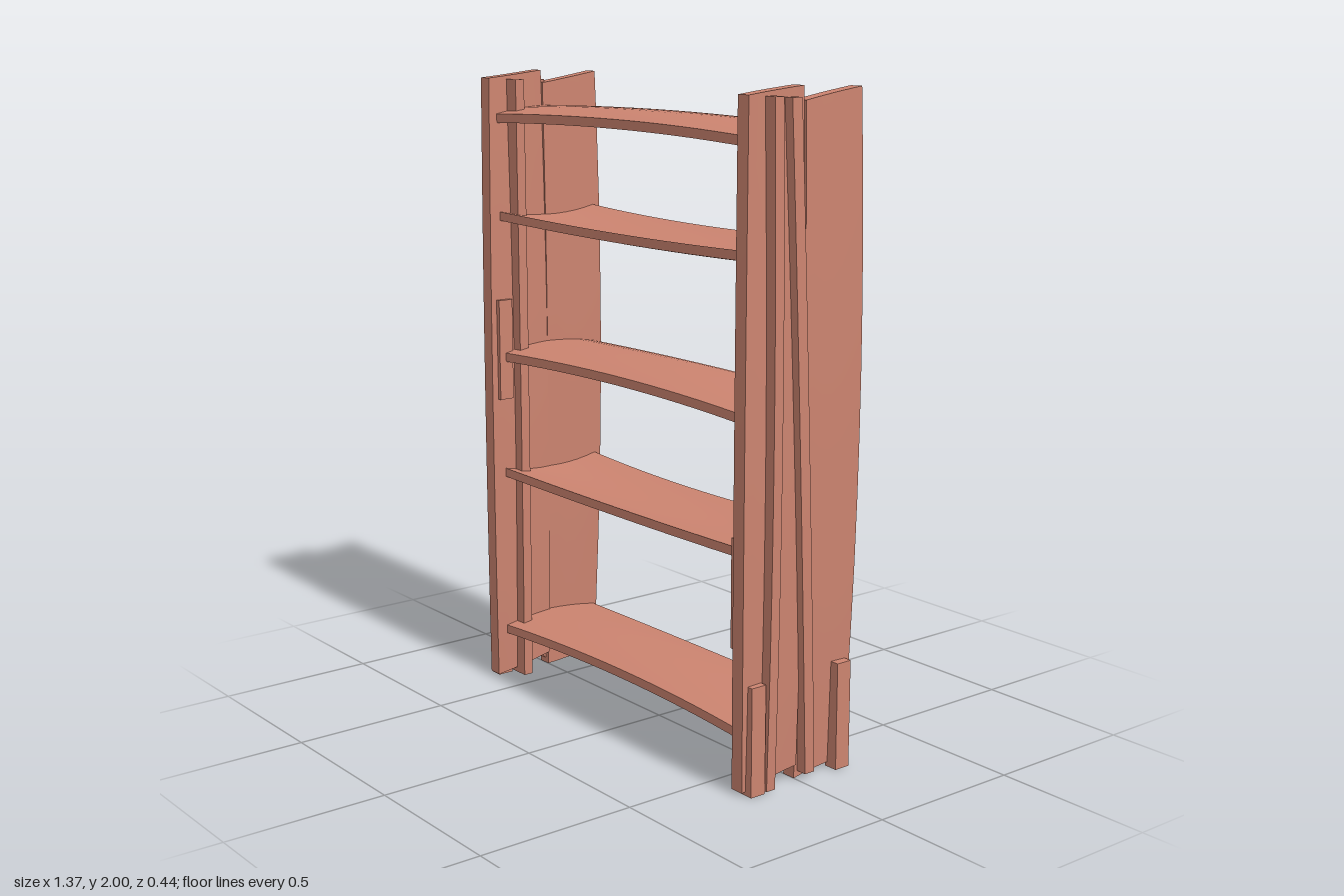
import * as THREE from 'three';
import { toCreasedNormals } from 'three/addons/utils/BufferGeometryUtils.js';

const wood = new THREE.MeshStandardMaterial({ color: 0xcc8470 });

// A box whose vertices are moved by a warping rule
function warpedBoard(name, size, segments, warp) {
  const geo = new THREE.BoxGeometry(...size, ...segments);
  const pos = geo.attributes.position;
  const v = new THREE.Vector3();
  for (let i = 0; i < pos.count; i++) {
    v.fromBufferAttribute(pos, i);
    warp(v);
    pos.setXYZ(i, v.x, v.y, v.z);
  }
  const mesh = new THREE.Mesh(toCreasedNormals(geo, 0.6), wood);
  mesh.name = name;
  return mesh;
}

// 1 in the middle, 0 at both ends
const bulge = (t) => 1 - t * t;

// Upright side plank: slanted ends, gently bowed and widened half way up
function sidePlank(name, x, side, zOuter, zInner, bottom, top, peak) {
  return warpedBoard(name, [0.045, 1, 1], [1, 10, 6], (v) => {
    const across = v.z + 0.5; // 0 at the middle joint, 1 at the outer edge
    const y = THREE.MathUtils.lerp(
      THREE.MathUtils.lerp(bottom[0], bottom[1], across),
      THREE.MathUtils.lerp(top[0], top[1], across), v.y + 0.5);
    const b = Math.max(0, bulge((y - peak) / 1.1));
    const zEdge = zOuter + Math.sign(zOuter) * 0.02 * b;
    v.z = THREE.MathUtils.lerp(zInner, zEdge, zOuter > 0 ? across : 1 - across);
    if (zOuter < 0) {
      // mirrored across the joint, so swap the slant too
      const a = 1 - across;
      v.y = THREE.MathUtils.lerp(
        THREE.MathUtils.lerp(bottom[0], bottom[1], a),
        THREE.MathUtils.lerp(top[0], top[1], a), v.y + 0.5);
    } else v.y = y;
    v.x += x + 0.02 * b - side * 0.006 * bulge(across * 2 - 1);
  });
}

function createSide(side) {
  const group = new THREE.Group();
  group.name = side > 0 ? 'leftSide' : 'rightSide';
  const x = side > 0 ? 0.612 : -0.634;

  // Two planks meeting in the middle
  group.add(sidePlank('frontPlank', x, side, 0.198, 0.0, [0.045, 0.01], [2.0, 1.98], 0.85));
  group.add(sidePlank('backPlank', x, side, -0.198, 0.0, [0.0, 0.02], [1.96, 1.992], 1.15));

  // Batten set through the front plank, supporting the shelves
  group.add(warpedBoard('batten', [0.115, 1.97, 0.032], [1, 10, 1], (v) => {
    const b = bulge(v.y / 0.985);
    v.x += side * (0.612 + (v.x * side > 0 ? 0.014 * b : -0.004 * b));
    v.y += 0.99;
    v.z += 0.12;
  }));

  // Slightly leaning strip covering the joint outside
  const lean = side > 0 ? 0.04 : 0.006;
  group.add(warpedBoard('jointStrip', [0.045, 1.95, 0.036], [1, 10, 1], (v) => {
    const t = v.y / 0.975;
    v.x += side * (0.642 + 0.012 * bulge(t) - 0.004 * t);
    v.z += (side > 0 ? 0.008 : -0.004) + lean * t + 0.006 * bulge(t);
    v.y += 0.995;
  }));

  // Short foot cleats outside, at the front and back
  for (const [name, z] of [['frontFoot', 0.166], ['backFoot', -0.164]]) {
    const foot = new THREE.Mesh(new THREE.BoxGeometry(0.045, 0.33, 0.052), wood);
    foot.name = name;
    foot.position.set(side * 0.644, 0.165, z);
    group.add(foot);
  }

  // Small repair slat on the inner face
  const slat = new THREE.Mesh(new THREE.BoxGeometry(0.03, 0.325, 0.05), wood);
  slat.name = 'innerSlat';
  slat.position.set(side * 0.592, side > 0 ? 0.59 : 1.115, 0.172);
  group.add(slat);
  return group;
}

export function createModel() {
  const model = new THREE.Group();
  model.name = 'shelfRack';
  model.add(createSide(1), createSide(-1));

  // Shelves bowed along their length and cupped across it, up and down in turn
  [0.18, 0.69, 1.105, 1.53, 1.87].forEach((height, i) => {
    const dir = i % 2 ? -1 : 1;
    model.add(warpedBoard('shelf' + (i + 1), [1.22, 0.028, 0.365], [16, 1, 10], (v) => {
      const along = bulge(v.x / 0.61);
      const across = bulge(v.z / 0.1825);
      v.y += height + dir * (0.013 * along + 0.02 * across - 0.016);
      v.z = v.z * (1 - 0.1 * along) - 0.007;
    }));
  });
  return model;
}
